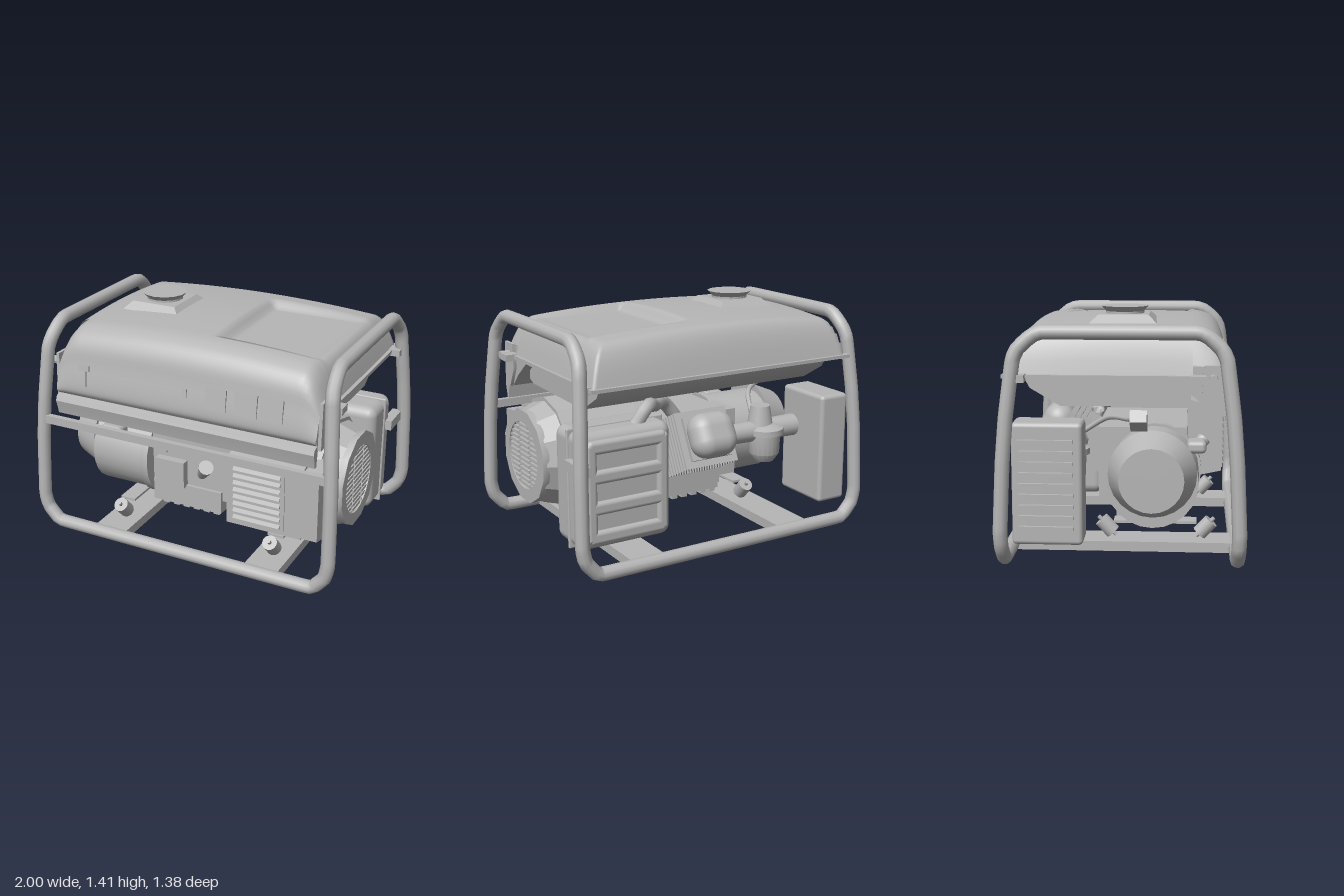
import * as THREE from 'three';
import { RoundedBoxGeometry } from 'three/addons/geometries/RoundedBoxGeometry.js';
import { toCreasedNormals } from 'three/addons/utils/BufferGeometryUtils.js';

const grey = new THREE.MeshStandardMaterial({ color: 0xb6b6b6, side: THREE.DoubleSide });
grey.name = 'grey metal';

export function createModel() {
  const model = new THREE.Group();
  model.name = 'portableGenerator';
  const V = (x, y, z) => new THREE.Vector3(x, y, z);

  const add = (name, geo, x = 0, y = 0, z = 0, parent = model) => {
    const m = new THREE.Mesh(geo, grey);
    m.name = name;
    m.position.set(x, y, z);
    parent.add(m);
    return m;
  };
  // box given by its two extremes on each axis
  const box = (name, x0, x1, y0, y1, z0, z1, parent) =>
    add(name, new THREE.BoxGeometry(x1 - x0, y1 - y0, z1 - z0), (x0 + x1) / 2, (y0 + y1) / 2, (z0 + z1) / 2, parent);
  const rbox = (name, x0, x1, y0, y1, z0, z1, r) =>
    add(name, new RoundedBoxGeometry(x1 - x0, y1 - y0, z1 - z0, 3, r), (x0 + x1) / 2, (y0 + y1) / 2, (z0 + z1) / 2);
  // cylinder lying along x
  const cylX = (name, r0, r1, x0, x1, y, z, seg = 24) => {
    const m = add(name, toCreasedNormals(new THREE.CylinderGeometry(r1, r0, x1 - x0, seg), 0.45), (x0 + x1) / 2, y, z);
    m.rotation.z = -Math.PI / 2;
    return m;
  };
  // (z, y) outline extruded along x, with an optional round hole [z, y, r]
  const slab = (name, pts, x0, x1, hole) => {
    const s = new THREE.Shape(pts.map(([z, y]) => new THREE.Vector2(-z, y)));
    if (hole) s.holes.push(new THREE.Path().absarc(-hole[0], hole[1], hole[2], 0, Math.PI * 2, true));
    const g = new THREE.ExtrudeGeometry(s, { depth: x1 - x0, bevelEnabled: false }).rotateY(Math.PI / 2);
    return add(name, toCreasedNormals(g, 0.6), x0, 0, 0);
  };
  const pipe = (name, pts, r, seg = 24) =>
    add(name, new THREE.TubeGeometry(new THREE.CatmullRomCurve3(pts), seg, r, 10));
  // grid surface: fn(u, v) gives a point
  const sheet = (name, nu, nv, fn) => {
    const g = new THREE.PlaneGeometry(1, 1, nu, nv), p = g.attributes.position;
    for (let i = 0; i < p.count; i++) p.setXYZ(i, ...fn(p.getX(i) + 0.5, p.getY(i) + 0.5));
    g.computeVertexNormals();
    return add(name, g);
  };

  // Tubular frame: one closed loop through rails, posts and both handles
  const half = [[0.80, 0.043, 0.645], [0.86, 0.055, 0.645], [0.925, 0.13, 0.648], [0.943, 0.22, 0.65],
    [0.935, 0.6, 0.632], [0.922, 0.85, 0.612], [0.9, 1.16, 0.572], [0.892, 1.22, 0.545], [0.885, 1.28, 0.48], [0.882, 1.308, 0.41]];
  const side = [...half, ...[...half].reverse().map(([x, y, z]) => [x, y, -z])];
  const loop = [...side, ...[...side].reverse().map(([x, y, z]) => [-x, y, z])].map(([x, y, z]) => V(x + 0.015, y, z));
  add('frameTube', new THREE.TubeGeometry(new THREE.CatmullRomCurve3(loop, true, 'catmullrom', 0.12), 260, 0.041, 10, true));
  box('frontMidRail', -0.92, 0.95, 0.7, 0.75, 0.615, 0.65);

  // Downward-open cross channels with tilted rubber mounts
  for (const x of [-0.47, 0.54]) {
    box('crossChannelTop', x - 0.1, x + 0.1, 0.06, 0.07, -0.63, 0.63);
    for (const s of [-1, 1]) box('crossChannelSide', x + s * 0.1 - 0.005, x + s * 0.1 + 0.005, 0.012, 0.07, -0.63, 0.63);
    for (const [z, a] of [[0.47, 0.75], [-0.1, -0.75]]) {
      const foot = new THREE.Group();
      foot.name = 'rubberMount';
      foot.position.set(x, 0.135, z);
      foot.rotation.x = a;
      model.add(foot);
      add('mountRubber', new THREE.CylinderGeometry(0.045, 0.045, 0.1, 14), 0, 0, 0, foot);
      add('mountBolt', new THREE.CylinderGeometry(0.012, 0.012, 0.15, 8), 0, 0, 0, foot);
    }
    box('mountBridge', x - 0.05, x + 0.05, 0.165, 0.18, -0.06, 0.42);
  }

  // Fuel tank: crowned top with steep sides and a flat recess
  const crown = (x, z) => 1.35 - 0.06 * x * x - 0.1 * z * z;
  const clamp = THREE.MathUtils.clamp;
  sheet('fuelTankTop', 84, 52, (u, v) => {
    const x = -0.84 + 1.7 * u, z = 0.39 - 1.01 * v;
    const d = Math.min(x + 0.84, 0.86 - x, z + 0.62);
    let y = crown(x, z);
    const r = clamp(Math.min((x - 0.13) / 0.05, (0.8 - x) / 0.07, (z + 0.38) / 0.05, (0.37 - z) / 0.02), 0, 1);
    y += (Math.min(y, 1.288) - y) * r;
    return [x, 1.07 + (y - 1.07) * (1 - Math.pow(1 - clamp(d / 0.13, 0, 1), 2.6)), z];
  });
  box('tankFlange', -0.86, 0.88, 1.055, 1.075, -0.64, 0.4);
  slab('tankBottom', [[0.38, 1.06], [0.38, 0.92], [0.33, 0.9], [-0.33, 0.89], [-0.5, 0.99], [-0.54, 1.06]], -0.76, 0.78);
  for (const s of [-1, 1]) for (const z of [-0.55, 0.42]) box('tankBracket', 0.01 + s * 0.88 - 0.04, 0.01 + s * 0.88 + 0.04, 1.04, 1.08, z - 0.04, z + 0.04);

  // Filler pad and cap
  const pad = add('fillerPad', new THREE.CylinderGeometry(0.2, 0.265, 0.045, 4, 1).rotateY(Math.PI / 4).toNonIndexed(), -0.41, 1.352, 0);
  pad.geometry.computeVertexNormals();
  add('fillerNeck', new THREE.CylinderGeometry(0.11, 0.11, 0.03, 14), -0.41, 1.375, 0);
  add('fillerCap', toCreasedNormals(new THREE.CylinderGeometry(0.135, 0.105, 0.035, 14), 0.6), -0.41, 1.3985, 0);

  // Control panel shroud
  const prof = new THREE.CatmullRomCurve3([[0.37, 1], [0.44, 0.975], [0.51, 0.9], [0.56, 0.74], [0.58, 0.5], [0.602, 0.2], [0.6, 0.07], [0.58, 0]].map(([z, f]) => V(0, f, z)));
  sheet('controlPanel', 60, 24, (u, v) => {
    const x = -0.82 + 1.66 * u, p = prof.getPoint(1 - v);
    const e = 1 - Math.pow(1 - clamp(Math.min(x + 0.82, 0.84 - x) / 0.13, 0, 1), 2.5);
    const top = 1.13 + (crown(x, 0.38) - 1.13) * e;
    return [x, 0.89 + (top - 0.89) * p.y, p.z];
  });
  slab('panelLowerShell', [[0.34, 1.12], [0.44, 1.12], [0.51, 1.1], [0.555, 1.06], [0.57, 1.01], [0.595, 0.93], [0.575, 0.89], [0.61, 0.88], [0.622, 0.85],
    [0.608, 0.8], [0.6, 0.765], [0.58, 0.765], [0.565, 0.86], [0.5, 0.86], [0.42, 0.94], [0.26, 1.06]], -0.82, 0.84);
  const fitting = (name, x, y, w, h) => {
    const m = add(name, new THREE.BoxGeometry(w, h, 0.02), x, y, 0.612 - (y - 0.89) * 0.135);
    m.rotation.x = -0.13;
  };
  fitting('socket', 0.24, 1.05, 0.125, 0.125);
  for (const x of [0.423, 0.577]) fitting('socket', x, 1.052, 0.135, 0.13);
  fitting('breaker', 0.043, 1.053, 0.025, 0.045);
  fitting('mainSwitch', -0.625, 1.08, 0.065, 0.035);
  fitting('switchStem', -0.615, 1.02, 0.01, 0.1);

  // Engine crankcase, sump and front fittings
  box('crankcase', -0.36, 0.32, 0.28, 0.7, -0.16, 0.36);
  box('crankcaseLower', -0.3, 0.16, 0.2, 0.34, -0.08, 0.38);
  box('electricBox', -0.27, -0.075, 0.33, 0.5, 0.36, 0.41);
  box('sensorTab', -0.245, -0.2, 0.54, 0.6, 0.36, 0.39);
  box('sump', -0.3, 0.11, 0.16, 0.27, -0.06, 0.3);
  for (let i = 0; i < 6; i++) box('sumpFin', -0.28 + i * 0.07, -0.24 + i * 0.07, 0.14, 0.17, -0.06, 0.3);
  const plug = add('oilFiller', new THREE.CylinderGeometry(0.045, 0.03, 0.15, 12), 0.07, 0.49, 0.42);
  plug.rotation.set(0.7, 0, -0.5);

  // Recoil starter and fan housing
  cylX('fanHousing', 0.26, 0.26, -0.7, -0.35, 0.45, 0.17);
  cylX('fanHousingLip', 0.275, 0.275, -0.36, -0.31, 0.45, 0.17);
  cylX('starterCone', 0.18, 0.25, -0.87, -0.7, 0.5, 0.17);
  rbox('starterGrip', -0.62, -0.48, 0.6, 0.67, 0.36, 0.47, 0.025);

  // Alternator with slatted front and grille end
  slab('alternatorHousing', [[0.58, 0.71], [0.35, 0.76], [0.1, 0.8], [-0.1, 0.7], [-0.1, 0.3], [0.1, 0.22], [0.3, 0.23], [0.58, 0.29]], 0.3, 0.76);
  cylX('alternatorBody', 0.33, 0.33, 0.3, 0.8, 0.53, 0.14, 12);
  slab('endCoverFront', [[0.58, 0.7], [0.3, 0.73], [0.3, 0.23], [0.58, 0.3]], 0.76, 0.86);
  cylX('endCover', 0.325, 0.275, 0.78, 0.915, 0.52, 0.14, 12);
  const dodecagon = Array.from({ length: 12 }, (_, i) => {
    const a = (i + 0.5) * Math.PI / 6;
    return [0.145 + 0.285 * Math.cos(a), 0.52 + 0.285 * Math.sin(a)];
  });
  slab('endRing', dodecagon, 0.9, 0.94, [0.155, 0.52, 0.205]);
  for (let i = -6; i <= 6; i++) {
    const y = i * 0.03, w = Math.sqrt(0.205 ** 2 - y * y);
    for (const [a, b] of [[-w, -0.08], [-0.065, 0.065], [0.08, w]])
      if (b > a) box('grilleBar', 0.91, 0.935, 0.52 + y - 0.009, 0.52 + y + 0.009, 0.155 + a, 0.155 + b);
  }
  box('ventFrame', 0.32, 0.66, 0.31, 0.68, 0.57, 0.586);
  for (let i = 0; i < 8; i++) {
    const slat = add('ventSlat', new THREE.BoxGeometry(0.29, 0.03, 0.012), 0.49, 0.345 + i * 0.044, 0.585);
    slat.rotation.x = -0.5;
  }

  // Inclined finned cylinder with domed valve cover
  const head = new THREE.Group();
  head.name = 'cylinderAssembly';
  head.position.set(0, 0.48, -0.1);
  head.rotation.x = -1.1;
  model.add(head);
  box('barrel', -0.14, 0.14, 0, 0.34, -0.13, 0.13, head);
  for (let i = 0; i < 8; i++) box('coolingFin', -0.18, 0.18, 0.08 + i * 0.032, 0.092 + i * 0.032, -0.17, 0.17, head);
  add('valveCover', new RoundedBoxGeometry(0.29, 0.2, 0.27, 5, 0.098), 0, 0.385, 0, head);

  // Muffler with seam, pressed ribs, exhaust pipe and bracket
  rbox('muffler', 0.31, 0.9, 0.12, 0.8, -0.51, -0.19, 0.06);
  rbox('mufflerSeam', 0.3, 0.91, 0.11, 0.81, -0.385, -0.365, 0.009);
  for (const y of [0.2, 0.37, 0.55, 0.72]) rbox('mufflerRib', 0.36, 0.85, y - 0.04, y + 0.04, -0.535, -0.47, 0.025);
  for (const x of [0.38, 0.83]) rbox('mufflerRib', x - 0.035, x + 0.035, 0.17, 0.75, -0.535, -0.47, 0.025);
  pipe('exhaustPipe', [V(0.1, 0.72, -0.2), V(0.2, 0.83, -0.22), V(0.32, 0.85, -0.32), V(0.42, 0.88, -0.42), V(0.5, 0.78, -0.42)], 0.04);
  box('mufflerBracket', 0.88, 0.94, 0.59, 0.65, -0.61, -0.41);

  // Air cleaner with louvres, intake and carburettor
  rbox('airCleaner', -0.9, -0.7, 0.14, 0.82, -0.59, -0.2, 0.025);
  for (let i = 0; i < 9; i++) box('airLouvre', -0.92, -0.88, 0.23 + i * 0.06, 0.25 + i * 0.06, -0.55, -0.25);
  cylX('intakeDuct', 0.07, 0.06, -0.73, -0.15, 0.58, -0.3, 16);
  const bowl = [[0, -0.12], [0.06, -0.11], [0.095, -0.06], [0.1, 0.06], [0.12, 0.065], [0.12, 0.1], [0.05, 0.13], [0, 0.13]];
  add('carburettorBowl', toCreasedNormals(new THREE.LatheGeometry(bowl.map(([r, y]) => new THREE.Vector2(r, y)), 20), 0.6), -0.47, 0.5, -0.32);
  add('carburettorBody', new THREE.CylinderGeometry(0.06, 0.08, 0.12, 16), -0.45, 0.68, -0.3);
  pipe('fuelHose', [V(-0.42, 0.68, -0.25), V(-0.5, 0.78, -0.1), V(-0.75, 0.82, 0.05), V(-0.9, 0.86, 0.1)], 0.015);

  // Fuel valve and side brackets
  const valve = box('fuelValve', -1.0, -0.88, 0.81, 0.88, 0.06, 0.15);
  valve.rotation.z = -0.6;
  valve.position.x = -0.93;
  for (const s of [-1, 1]) {
    slab('panelSideBracket', [[0.56, 1.13], [0.45, 1.13], [0.44, 0.98], [0.5, 0.86], [0.57, 0.86]], 0.01 + s * 0.84 - 0.01, 0.01 + s * 0.84 + 0.01);
    cylX('bracketBolt', 0.025, 0.025, 0.01 + s * 0.87 - 0.04, 0.01 + s * 0.87 + 0.04, 1.06, 0.5, 8);
  }
  return model;
}
